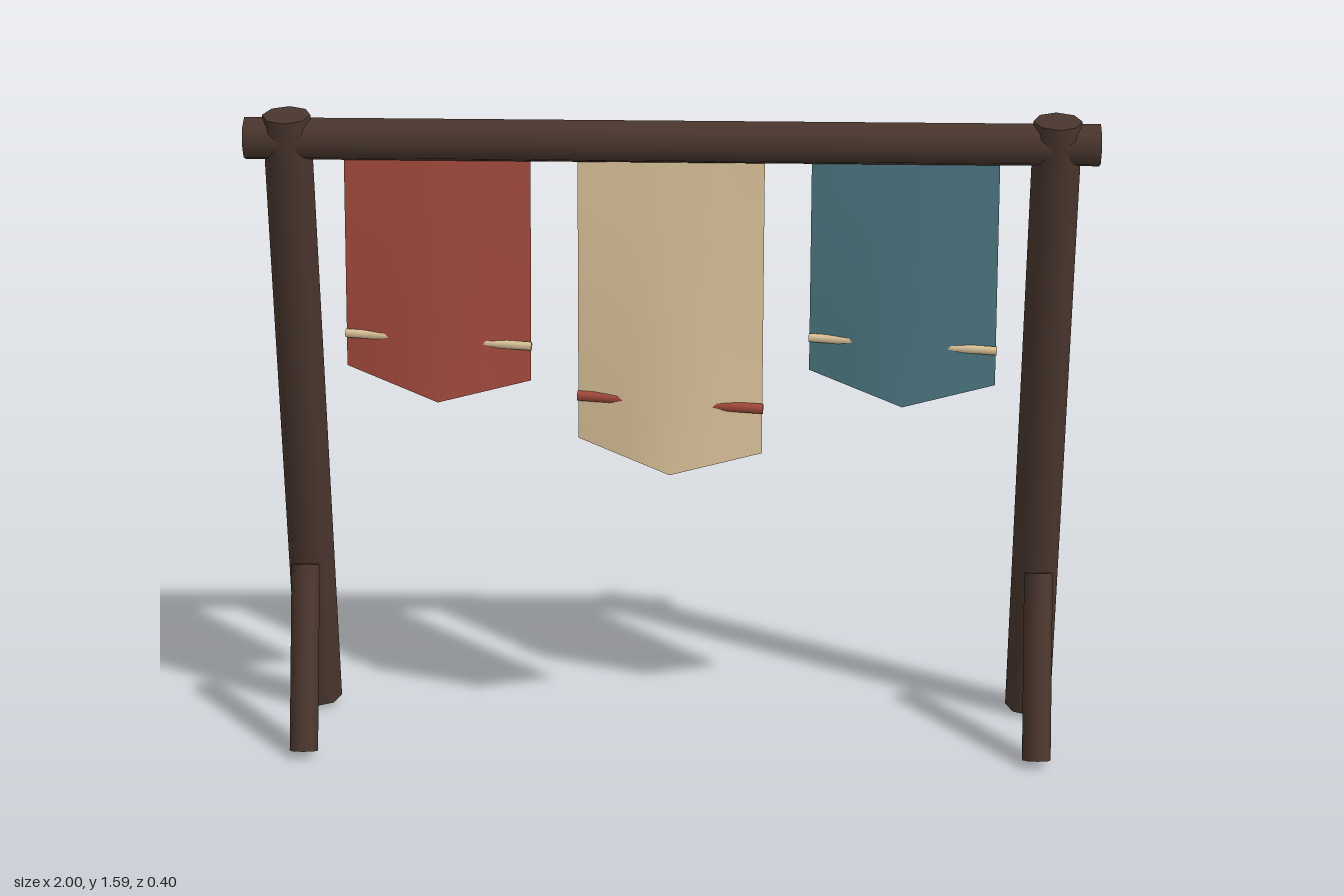
import * as THREE from 'three';

const material = (name, color, side = THREE.FrontSide) => {
  const m = new THREE.MeshStandardMaterial({ color, side });
  m.name = name;
  return m;
};

// Round pole between two points
function pole(name, from, to, radius, mat, sides = 8) {
  const a = new THREE.Vector3(...from), b = new THREE.Vector3(...to);
  const dir = b.clone().sub(a);
  const mesh = new THREE.Mesh(new THREE.CylinderGeometry(radius, radius, dir.length(), sides), mat);
  mesh.name = name;
  mesh.position.copy(a).add(b).multiplyScalar(0.5);
  mesh.quaternion.setFromUnitVectors(new THREE.Vector3(0, 1, 0), dir.normalize());
  return mesh;
}

// Hanging cloth with a pointed hem, its middle pushed forward towards the bottom
function cloth(tipY, mat) {
  const half = 0.22, topY = 1.53, topZ = -0.015;
  const geo = new THREE.PlaneGeometry(2 * half, 1, 4, 4);
  const pos = geo.attributes.position;
  for (let i = 0; i < pos.count; i++) {
    const u = pos.getX(i) / half, t = 0.5 - pos.getY(i);
    const hemY = tipY + Math.abs(u) * (u < 0 ? 0.07 : 0.045);
    const hemZ = 0.126 - Math.abs(u) * (u < 0 ? 0.061 : 0.036);
    pos.setY(i, THREE.MathUtils.lerp(topY, hemY, t));
    pos.setZ(i, THREE.MathUtils.lerp(topZ, hemZ, t));
  }
  geo.computeVertexNormals();
  const mesh = new THREE.Mesh(geo, mat);
  mesh.name = 'cloth';
  return mesh;
}

export function createModel() {
  const model = new THREE.Group();
  model.name = 'bannerRack';
  const wood = material('dark wood', 0x4a362e);
  const red = material('red cloth', 0xa0483b, THREE.DoubleSide);
  const cream = material('cream cloth', 0xd8c097, THREE.DoubleSide);
  const teal = material('teal cloth', 0x48707a, THREE.DoubleSide);

  // Leaning posts with short front braces
  for (const [side, x] of [['left', 0.9], ['right', -0.9]]) {
    model.add(pole(side + 'Post', [x, 0.017, -0.142], [x, 1.588, 0.001], 0.057, wood));
    model.add(pole(side + 'Brace', [x, 0.014, 0.168], [x, 0.443, 0.003], 0.035, wood));
  }

  // Crossbeam
  model.add(pole('crossbeam', [-1, 1.53, -0.003], [1, 1.53, -0.003], 0.051, wood));

  // Banners, each with a slightly skewed rod behind the cloth
  const banners = [
    ['rightBanner', -0.55, 0.92, red, cream, 1.068],
    ['middleBanner', 0, 0.74, cream, red, 0.915],
    ['leftBanner', 0.55, 0.92, teal, cream, 1.068],
  ];
  for (const [name, x, tipY, clothMat, rodMat, rodY] of banners) {
    const banner = new THREE.Group();
    banner.name = name;
    banner.position.x = x;
    banner.add(cloth(tipY, clothMat));
    const r = rodMat === red ? 0.013 : 0.011;
    banner.add(pole('rod', [-0.222, rodY, 0.056], [0.222, rodY - 0.02, 0.081], r, rodMat));
    model.add(banner);
  }
  return model;
}
